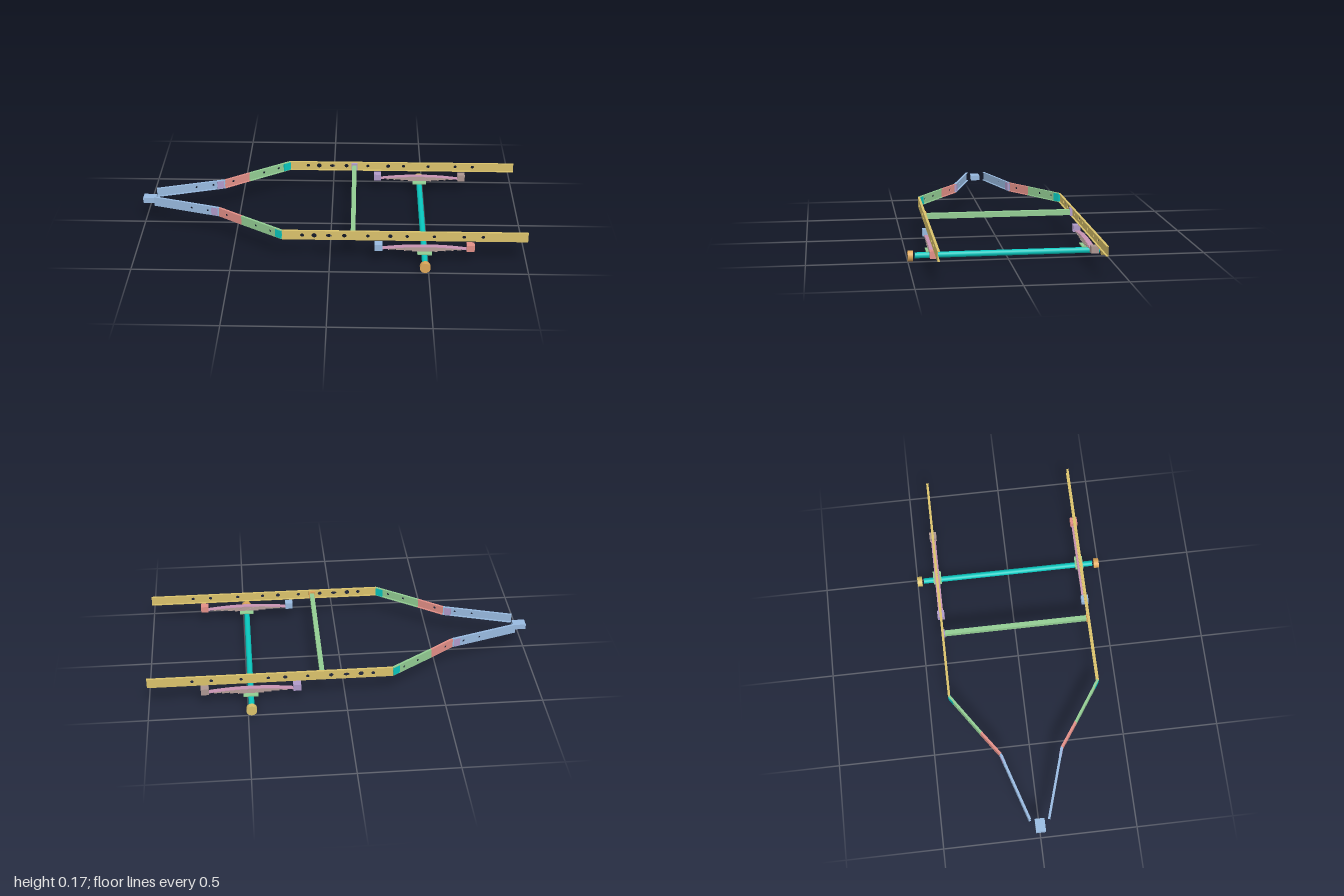
import * as THREE from 'three';

const mat = (name, color) => {
  const m = new THREE.MeshStandardMaterial({ color });
  m.name = name;
  return m;
};

export function createModel() {
  const root = new THREE.Group();
  root.name = 'trailerFrame';
  const tan = mat('tan', 0xdac26b), orange = mat('orange', 0xdea75a), blue = mat('blue', 0x98bae0),
    red = mat('red', 0xe28f87), green = mat('green', 0x93cd93), teal = mat('teal', 0x08c8bf),
    purple = mat('purple', 0xb09aca), pink = mat('pink', 0xc893b2), brown = mat('brown', 0xad9691);

  const add = (name, geo, material, x = 0, y = 0, z = 0, parent = root) => {
    const m = new THREE.Mesh(geo, material);
    m.name = name;
    m.position.set(x, y, z);
    parent.add(m);
    return m;
  };
  const box = (name, material, w, h, d, x, y, z, parent) =>
    add(name, new THREE.BoxGeometry(w, h, d), material, x, y, z, parent);

  // Drilled channel running between two plan points, flanges turned inward
  const H = 0.05, T = 0.003, W = 0.012, MID = 0.15;
  function channel(name, material, x0, z0, x1, z1, side, holes) {
    const g = new THREE.Group();
    g.name = name;
    const len = Math.hypot(x1 - x0, z1 - z0), h = H / 2 - T;
    const shape = new THREE.Shape();
    shape.moveTo(0, -h);
    shape.lineTo(len, -h);
    shape.lineTo(len, h);
    shape.lineTo(0, h);
    shape.closePath();
    for (const [hx, r, stretch = 1] of holes) {
      const hole = new THREE.Path();
      hole.absellipse((hx - x0) / (x1 - x0) * len, 0, r * stretch, r, 0, Math.PI * 2, true);
      shape.holes.push(hole);
    }
    const web = new THREE.ExtrudeGeometry(shape, { depth: T, bevelEnabled: false, curveSegments: 10 });
    web.translate(0, 0, -T / 2);
    add('web', web, material, 0, 0, side * (W - T) / 2, g);
    for (const s of [-1, 1])
      box('flange', material, len, T, W, len / 2, s * (H - T) / 2, 0, g);
    g.position.set(x0, MID, side * z0);
    g.rotation.y = -Math.atan2(side * (z1 - z0), x1 - x0);
    root.add(g);
  }

  const railHoles = [[-0.139, 0.01], [-0.078, 0.013], [-0.004, 0.009, 1.7], [0.074, 0.011], [0.193, 0.009],
    [0.306, 0.011], [0.391, 0.009], [0.528, 0.009], [0.678, 0.009], [0.774, 0.009]];

  // Arched spring leaf swept along x
  function leafGeometry(half, rise) {
    const geo = new THREE.BoxGeometry(half * 2, 0.003, 0.026, 16, 1, 1);
    const p = geo.attributes.position;
    for (let i = 0; i < p.count; i++) {
      const u = p.getX(i) / half;
      p.setY(i, p.getY(i) - rise * u * u);
    }
    geo.computeVertexNormals();
    return geo;
  }

  const AXLE_X = 0.482;
  for (const side of [-1, 1]) {
    // Side rail and the converging drawbar arm
    channel('sideRail', tan, -0.24, 0.39, 1, 0.39, side, railHoles);
    channel('armRear', green, -0.455, 0.245, -0.24, 0.39, side, [[-0.377, 0.007], [-0.3, 0.007]]);
    channel('armMiddle', red, -0.58, 0.158, -0.455, 0.245, side, [[-0.537, 0.007]]);
    channel('armFront', blue, -0.935, 0.049, -0.58, 0.158, side, [[-0.73, 0.006], [-0.642, 0.006]]);

    // Joint blocks, seated in the channels and showing on both faces
    const rearJoint = box('rearJointPlate', teal, 0.04, 0.043, 0.0145, -0.257, MID, side * 0.3785);
    rearJoint.rotation.y = -side * Math.atan2(0.145, 0.215);
    const frontJoint = box('frontJointPlate', purple, 0.036, 0.043, 0.0145, -0.605, MID, side * 0.1503);
    frontJoint.rotation.y = -side * Math.atan2(0.109, 0.355);

    // Spring hangers
    const z = side * 0.39;
    box('frontHanger', side > 0 ? blue : purple, 0.04, 0.035, 0.038, 0.247, 0.09, z);
    box('rearHanger', side > 0 ? red : brown, 0.04, 0.035, 0.038, 0.713, 0.09, z);

    // Leaf spring pack, shortest leaf at the bottom
    [0.225, 0.185, 0.145, 0.105, 0.065].forEach((half, i) =>
      add('springLeaf', leafGeometry(half, 0.016 * (half / 0.225) ** 2), i ? brown : pink,
        AXLE_X, 0.094 - i * 0.006, z));
    box('springSeat', green, 0.075, 0.006, 0.044, AXLE_X, 0.055, z);

    // Wheel hub
    const hub = new THREE.CylinderGeometry(0.027, 0.027, 0.026, 32);
    hub.rotateX(Math.PI / 2);
    add('wheelHub', hub, side > 0 ? orange : tan, AXLE_X, 0.027, side * 0.487);

    // Crossmember end plate, set into the rail channel
    box('crossmemberPlate', side > 0 ? orange : purple, 0.034, 0.04, 0.014, 0.118, 0.149, side * 0.385);
  }

  // Axle
  const axle = new THREE.CylinderGeometry(0.015, 0.015, 0.93, 32);
  axle.rotateX(Math.PI / 2);
  add('axle', axle, teal, AXLE_X, 0.029, 0);

  // Crossmember and coupling block
  box('crossmember', green, 0.024, 0.028, 0.756, 0.118, 0.146, 0);
  box('couplingBlock', blue, 0.068, 0.028, 0.05, -0.966, 0.14, 0);

  return root;
}
